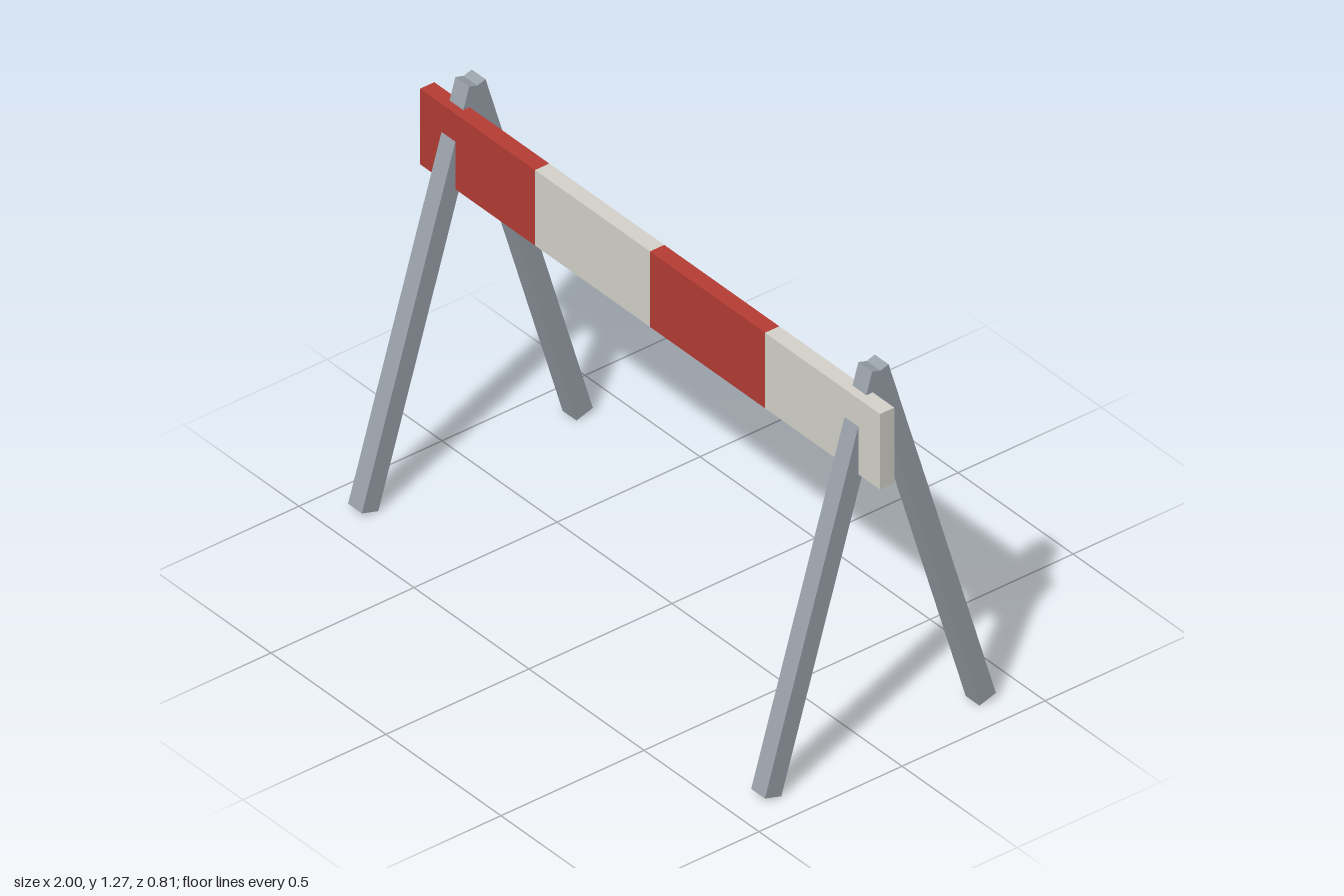
import * as THREE from 'three';

const mat = (name, color) => {
  const m = new THREE.MeshStandardMaterial({ color });
  m.name = name;
  return m;
};

export function createModel() {
  const model = new THREE.Group();
  model.name = 'barricade';
  const red = mat('red', 0xb53c34);
  const white = mat('offWhite', 0xd4d2ca);
  const grey = mat('steelGrey', 0x9aa2aa);

  // Board made of four alternating stripes
  const board = new THREE.Group();
  board.name = 'board';
  const stripe = new THREE.BoxGeometry(0.5, 0.25, 0.05);
  for (let i = 0; i < 4; i++) {
    const m = new THREE.Mesh(stripe, i % 2 ? white : red);
    m.name = i % 2 ? 'whiteStripe' : 'redStripe';
    m.position.set(-0.75 + i * 0.5, 1.075, 0.052);
    board.add(m);
  }
  model.add(board);

  // Two A-frames, each with a front and a back leg meeting at the top
  const topY = 1.26, footY = 0.009, footZ = 0.375;
  const length = Math.hypot(topY - footY, footZ);
  const tilt = Math.atan2(footZ, topY - footY);
  const leg = new THREE.BoxGeometry(0.06, length, 0.06);
  for (const side of [-1, 1]) {
    const frame = new THREE.Group();
    frame.name = side > 0 ? 'leftFrame' : 'rightFrame';
    frame.position.x = side * 0.876;
    for (const dir of [1, -1]) {
      const m = new THREE.Mesh(leg, grey);
      m.name = dir > 0 ? 'frontLeg' : 'backLeg';
      m.position.set(0, (topY + footY) / 2, dir * footZ / 2);
      m.rotation.x = -dir * tilt;
      frame.add(m);
    }
    model.add(frame);
  }
  return model;
}
